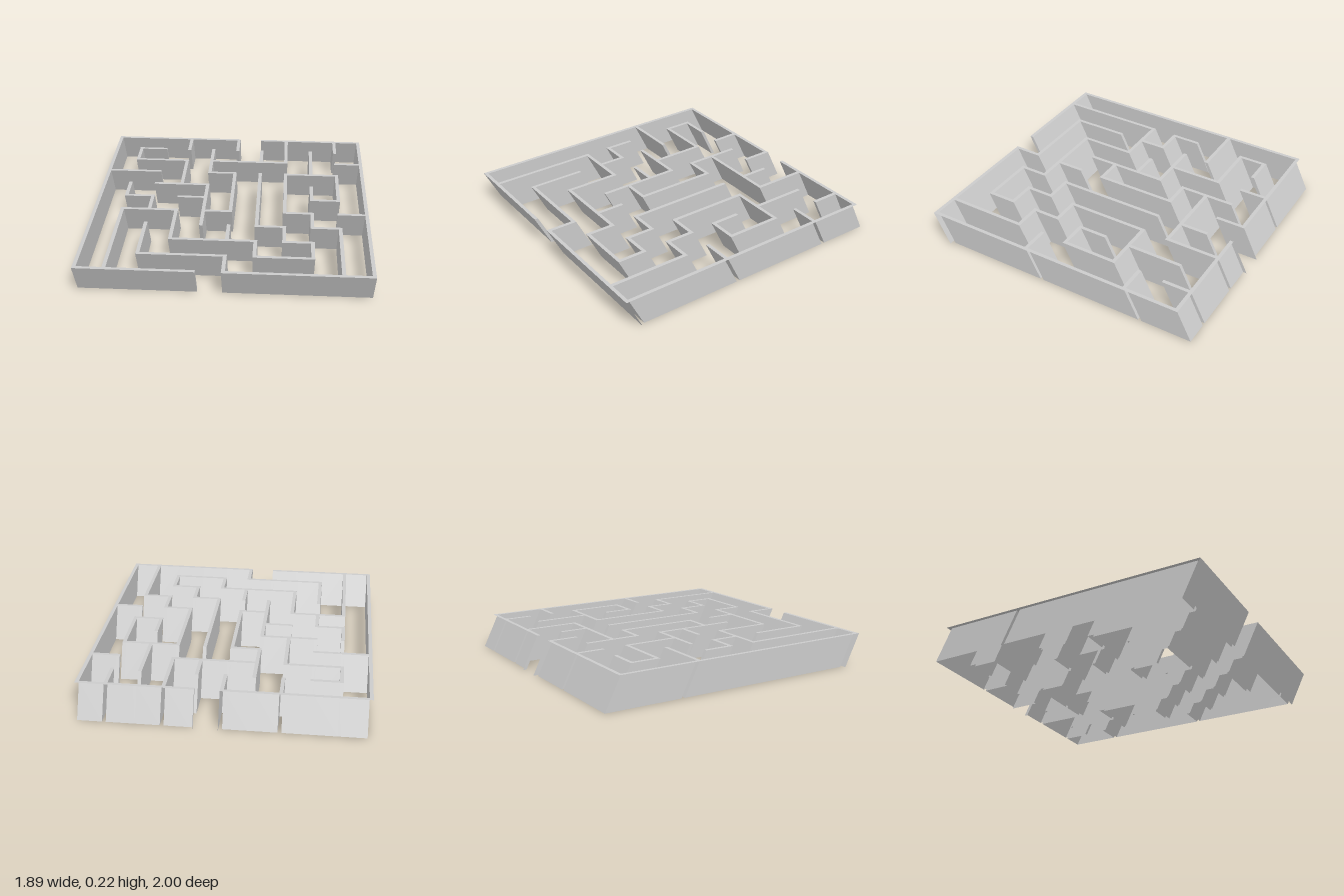
import * as THREE from 'three';

const N = 10, HEIGHT = 0.225, LEAN = 0.056, STEP = 0.1864, HALF = 0.0122;

// Walls along x: for each grid row, [from, to] column spans (row 0 is the back).
const ROWS = [
  [[0, 5], [6, 10]], [[1, 2]], [[1, 3], [4, 7], [9, 10]], [[0, 2], [4, 5], [7, 9]],
  [[2, 4]], [[1, 2], [3, 4], [8, 9]], [[1, 3], [4, 5], [7, 8], [9, 10]],
  [[6, 7], [8, 9]], [[3, 6], [7, 8]], [[2, 5], [6, 8]], [[0, 4], [5, 10]],
];
// Walls along z: for each grid column, [from, to] row spans (column 0 is at -x).
const COLS = [
  [[0, 10]], [[1, 2], [4, 5], [6, 10]], [[5, 6], [7, 9]], [[0, 1], [2, 4], [6, 8]],
  [[1, 3], [4, 7]], [[0, 1], [3, 6], [7, 8], [9, 10]], [[1, 2], [3, 7], [8, 9]],
  [[0, 2], [3, 6], [7, 8]], [[1, 3], [4, 5], [6, 7], [8, 9]], [[0, 1], [3, 5], [7, 10]], [[0, 10]],
];

// Plan of alternating thin (wall) and wide (passage) cells.
const SIZE = 2 * N + 1;
function makePlan() {
  const plan = Array.from({ length: SIZE }, () => new Array(SIZE).fill(false));
  ROWS.forEach((spans, r) => spans.forEach(([a, b]) => {
    for (let i = 2 * a; i <= 2 * b; i++) plan[2 * r][i] = true;
  }));
  COLS.forEach((spans, c) => spans.forEach(([a, b]) => {
    for (let j = 2 * a; j <= 2 * b; j++) plan[j][2 * c] = true;
  }));
  return plan;
}

// Coordinate of the k-th cell border.
const border = (k) => (Math.floor(k / 2) - N / 2) * STEP + (k % 2 ? HALF : -HALF);
// Point on the plan at the bottom (t = 0) or top (t = 1), leaning towards the front.
const point = (x, z, t) => [x, t * HEIGHT, z + (2 * t - 1) * LEAN];

function wallGeometry(plan, belongs) {
  const pos = [];
  const quad = (a, b, c, d) => pos.push(...a, ...b, ...c, ...a, ...c, ...d);
  // Upright face from (xa, za) to (xb, zb), left to right as seen from outside
  const side = (xa, za, xb, zb) =>
    quad(point(xa, za, 0), point(xb, zb, 0), point(xb, zb, 1), point(xa, za, 1));
  const last = SIZE - 1;

  for (let j = 0; j < SIZE; j++) for (let i = 0; i < SIZE; i++) {
    if (!plan[j][i] || !belongs(i, j)) continue;
    const x0 = border(i), x1 = border(i + 1), z0 = border(j), z1 = border(j + 1);
    // Top cap
    quad(point(x0, z1, 1), point(x1, z1, 1), point(x1, z0, 1), point(x0, z0, 1));
    // Sides next to a passage; the back and both flanks are open shells outside
    if (j === last || !plan[j + 1][i]) side(x0, z1, x1, z1);
    if (j > 0 && !plan[j - 1][i]) side(x1, z0, x0, z0);
    if (i < last && !plan[j][i + 1]) side(x1, z1, x1, z0);
    if (i > 0 && !plan[j][i - 1]) side(x0, z0, x0, z1);
  }
  const geometry = new THREE.BufferGeometry();
  geometry.setAttribute('position', new THREE.Float32BufferAttribute(pos, 3));
  geometry.computeVertexNormals();
  return geometry;
}

export function createModel() {
  const group = new THREE.Group();
  group.name = 'leaningMaze';
  const material = new THREE.MeshStandardMaterial({
    color: 0xcccccc, flatShading: true, side: THREE.DoubleSide,
  });
  const plan = makePlan();
  const onRim = (i, j) => i === 0 || j === 0 || i === SIZE - 1 || j === SIZE - 1;

  const add = (name, belongs) => {
    const mesh = new THREE.Mesh(wallGeometry(plan, belongs), material);
    mesh.name = name;
    group.add(mesh);
  };
  add('outerWalls', onRim);
  add('innerWalls', (i, j) => !onRim(i, j));
  return group;
}
